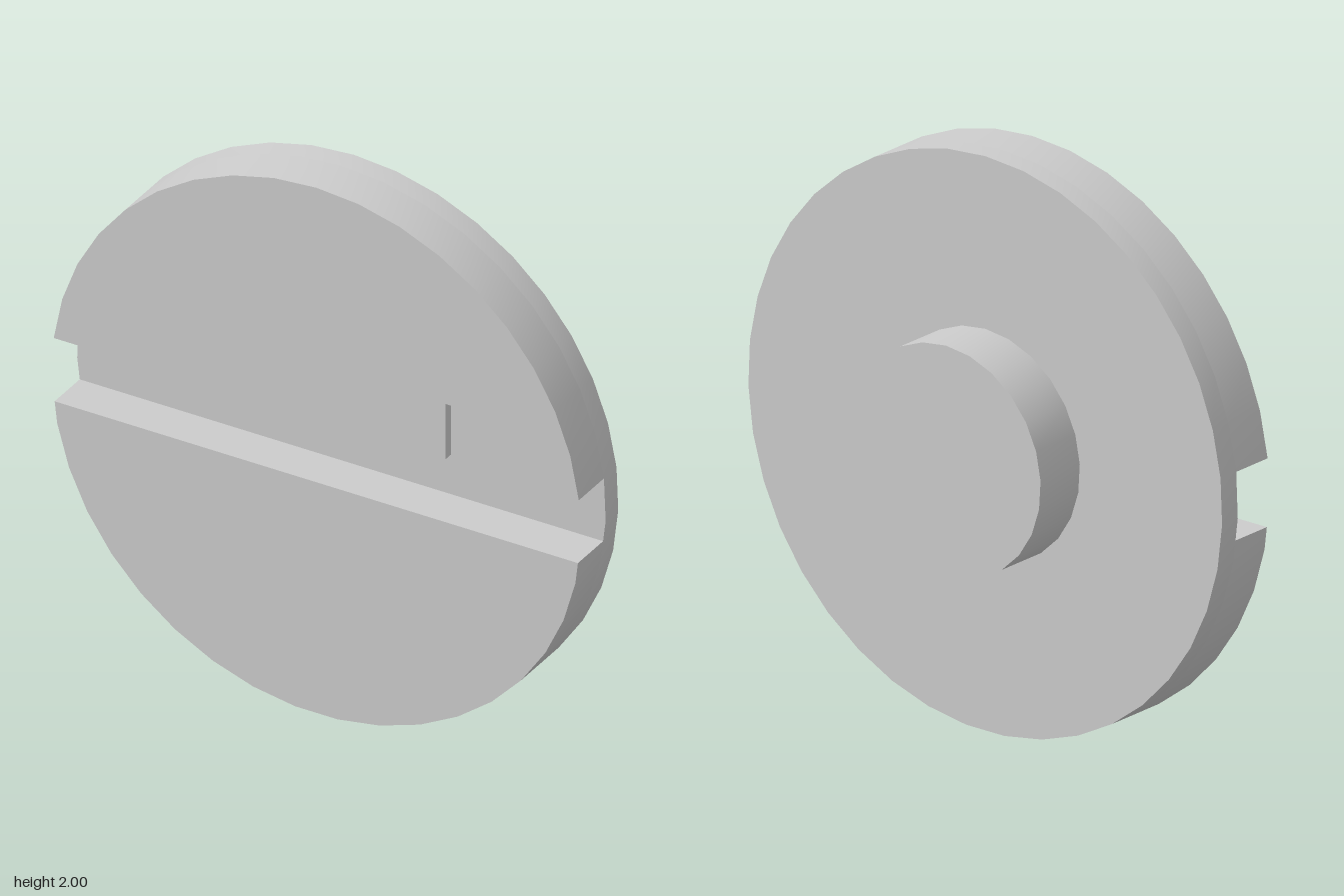
import * as THREE from 'three';
import { toCreasedNormals } from 'three/addons/utils/BufferGeometryUtils.js';

const SIDES = 39;
const R = 1.001;
const CENTRE_Y = R * Math.cos(Math.PI / SIDES); // rests on its lowest flat
const SLOT = 0.12; // half height of the slot
const BACK = -0.02, FLOOR = 0.06, FRONT = 0.22;

// Regular polygon with one corner at the top, counter-clockwise
function ring(radius, sides) {
  return Array.from({ length: sides }, (_, i) => {
    const a = Math.PI / 2 + (i / sides) * Math.PI * 2;
    return new THREE.Vector2(radius * Math.cos(a), radius * Math.sin(a));
  });
}

// Keep the part of a convex polygon above (sign 1) or below (sign -1) a level
function clip(points, level, sign) {
  const out = [];
  points.forEach((p, i) => {
    const q = points[(i + 1) % points.length];
    const dp = sign * (p.y - level), dq = sign * (q.y - level);
    if (dp >= 0) out.push(p);
    if (dp * dq < 0) out.push(p.clone().lerp(q, dp / (dp - dq)));
  });
  return out;
}

function createModel() {
  const group = new THREE.Group();
  const material = new THREE.MeshStandardMaterial({ color: 0xcccccc });

  function addPlate(name, points, z0, z1) {
    const extruded = new THREE.ExtrudeGeometry(new THREE.Shape(points), {
      depth: z1 - z0, bevelEnabled: false,
    });
    const mesh = new THREE.Mesh(toCreasedNormals(extruded, Math.PI / 6), material);
    mesh.name = name;
    mesh.position.set(0, CENTRE_Y, z0);
    group.add(mesh);
  }

  const rim = ring(R, SIDES);

  // Full disc behind the slot, and the round boss on its back
  addPlate('disc', rim, BACK, FLOOR);
  addPlate('boss', ring(0.4, 25), -0.22, BACK);

  // Upper half of the face, with a narrow notch rising from the slot
  const upper = clip(rim, SLOT, 1);
  const leftEnd = upper.findIndex((p) => Math.abs(p.y - SLOT) < 1e-6 && p.x < 0);
  const notch = [[0.49, SLOT], [0.49, 0.33], [0.51, 0.33], [0.51, SLOT]];
  upper.splice(leftEnd + 1, 0, ...notch.map(([x, y]) => new THREE.Vector2(x, y)));
  addPlate('upperFace', upper, FLOOR, FRONT);

  // Lower half of the face
  addPlate('lowerFace', clip(rim, -SLOT, -1), FLOOR, FRONT);

  return group;
}

export { createModel };
